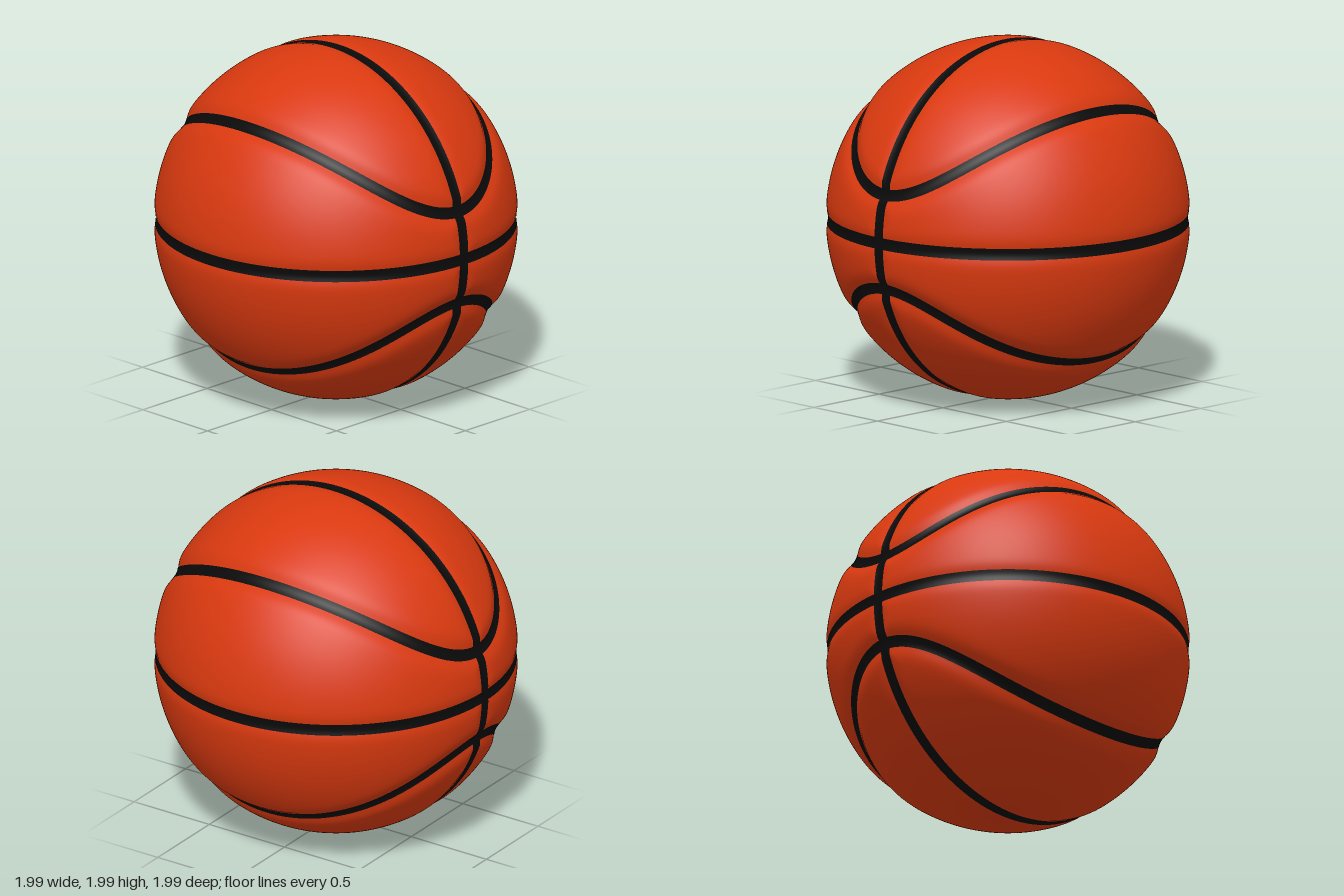
import * as THREE from 'three';
import { mergeVertices } from 'three/addons/utils/BufferGeometryUtils.js';

const HALF_WIDTH = 0.033; // half the width of a black seam

// Height of the curved seam above the ball's middle, and its slope
const seamY = (x) => 0.27 + 1.05 * x * x - 0.3516 * x ** 4;
const seamSlope = (x) => 2.1 * x - 1.4064 * x ** 3;

// Ball radius in a unit direction, sunk softly towards the seams
function radiusAt(n) {
  const ax = Math.abs(n.x), ay = Math.abs(n.y);
  const g = new THREE.Vector3(-seamSlope(ax), 1, 0);
  const along = g.x * ax + g.y * ay;
  const tangent = Math.sqrt(Math.max(g.lengthSq() - along * along, 0.04));
  const curved = (ay - seamY(ax)) / tangent;
  const dip = (d, depth, width) => depth * Math.exp(-((d / width) ** 2));
  return 1 - Math.max(dip(ax, 0.015, 0.05), dip(ay, 0.015, 0.05), dip(curved, 0.027, 0.065));
}

// Closed band laid in the groove along a loop of unit directions
function seamBand(loop, material, name) {
  const steps = 256, across = 8, row = across + 1;
  const positions = [], indices = [];
  for (let i = 0; i < steps; i++) {
    const t = (i / steps) * Math.PI * 2;
    const centre = loop(t);
    const forward = loop(t + 0.002).sub(loop(t - 0.002));
    const side = forward.cross(centre).normalize();
    for (let j = 0; j <= across; j++) {
      const offset = HALF_WIDTH * (2 * j / across - 1);
      const n = centre.clone().addScaledVector(side, offset).normalize();
      n.multiplyScalar(radiusAt(n) + 0.002);
      positions.push(n.x, n.y, n.z);
      if (j < across) {
        const a = i * row + j, b = ((i + 1) % steps) * row + j;
        indices.push(a, a + 1, b, b, a + 1, b + 1);
      }
    }
  }
  const geometry = new THREE.BufferGeometry();
  geometry.setAttribute('position', new THREE.Float32BufferAttribute(positions, 3));
  geometry.setIndex(indices);
  geometry.computeVertexNormals();
  const mesh = new THREE.Mesh(geometry, material);
  mesh.name = name;
  return mesh;
}

export function createModel() {
  const orange = new THREE.MeshStandardMaterial({ color: 0xd9390f });
  orange.name = 'orange rubber';
  const black = new THREE.MeshStandardMaterial({ color: 0x0a0a0a, side: THREE.DoubleSide });
  black.name = 'black seam';

  // Ball with panels rounded down into the grooves
  let geometry = new THREE.IcosahedronGeometry(1, 64);
  geometry.deleteAttribute('uv');
  geometry.deleteAttribute('normal');
  geometry = mergeVertices(geometry, 1e-4);
  const p = geometry.attributes.position;
  const v = new THREE.Vector3();
  for (let i = 0; i < p.count; i++) {
    v.fromBufferAttribute(p, i).normalize();
    v.multiplyScalar(radiusAt(v));
    p.setXYZ(i, v.x, v.y, v.z);
  }
  geometry.computeVertexNormals();
  const ball = new THREE.Mesh(geometry, orange);
  ball.name = 'ball';

  // Curved seam: upper (s = 1) or lower (s = -1)
  const curvedLoop = (s) => (t) => {
    const x = Math.SQRT1_2 * Math.sin(t), y = seamY(x);
    const z = Math.sign(Math.cos(t)) * Math.sqrt(Math.max(0, 1 - x * x - y * y));
    return new THREE.Vector3(x, s * y, z).normalize();
  };

  const model = new THREE.Group();
  model.name = 'basketball';
  model.add(
    ball,
    seamBand((t) => new THREE.Vector3(0, Math.cos(t), Math.sin(t)), black, 'verticalSeam'),
    seamBand((t) => new THREE.Vector3(Math.cos(t), 0, Math.sin(t)), black, 'horizontalSeam'),
    seamBand(curvedLoop(1), black, 'upperCurvedSeam'),
    seamBand(curvedLoop(-1), black, 'lowerCurvedSeam'),
  );
  model.children.forEach((part) => { part.position.y = 1; });
  return model;
}
